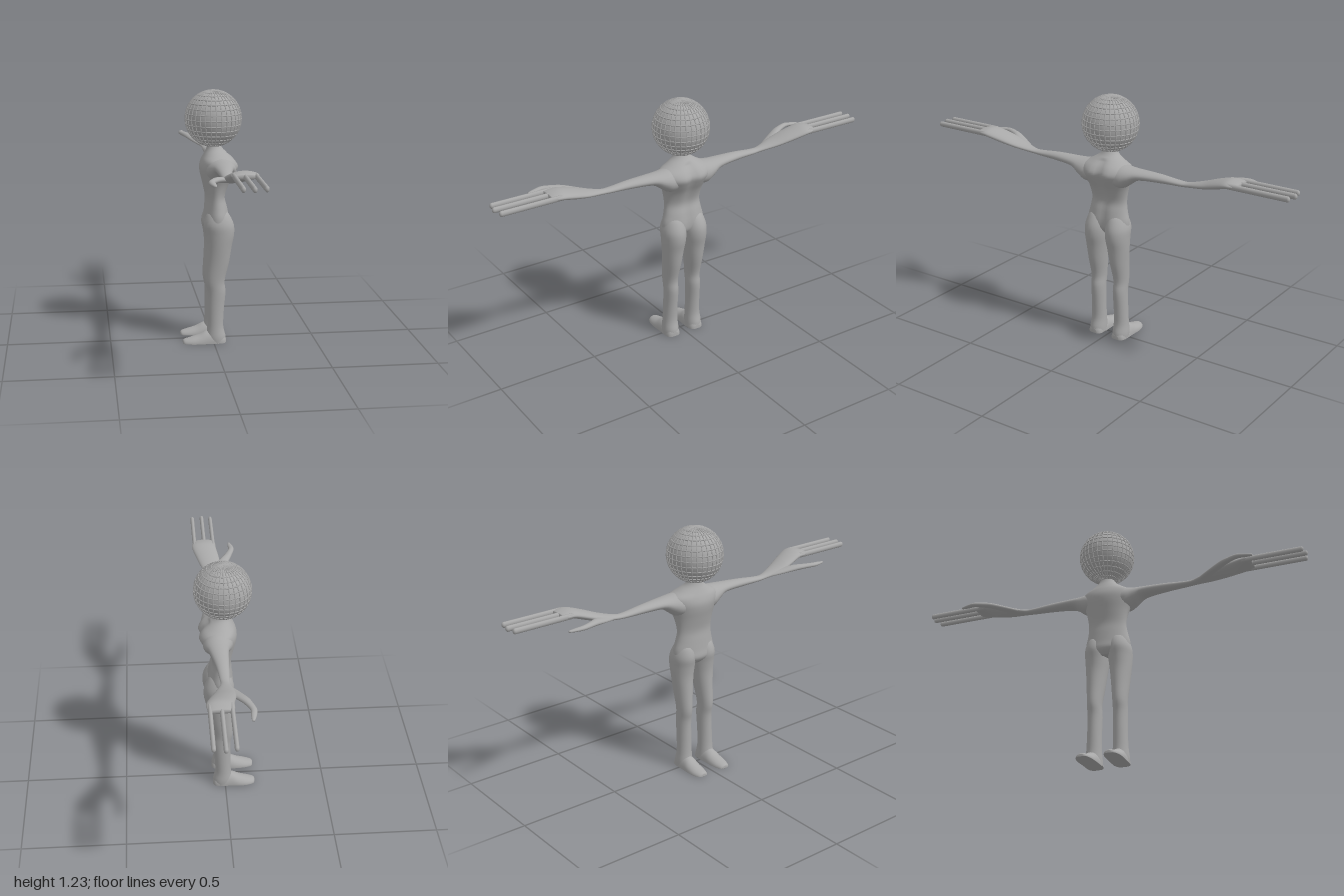
import * as THREE from 'three';

const skin = new THREE.MeshStandardMaterial({ color: 0xa8a8a8 });
skin.name = 'grey';

function catmull(a, b, c, d, t) {
  return 0.5 * (2 * b + (c - a) * t + (2 * a - 5 * b + 4 * c - d) * t * t + (3 * b - a - 3 * c + d) * t * t * t);
}

// Smooth closed body through rows [position, aMin, aMax, bMin, bMax];
// place(position, a, b) turns ring points into xyz.
function loft(rows, place, sides = 24, steps = 4) {
  const rings = [];
  const last = rows.length - 1;
  for (let i = 0; i < last; i++) {
    for (let s = 0; s < steps; s++) {
      const r = [-1, 0, 1, 2].map((k) => rows[Math.min(last, Math.max(0, i + k))]);
      rings.push(rows[0].map((_, j) => catmull(r[0][j], r[1][j], r[2][j], r[3][j], s / steps)));
    }
  }
  rings.push(rows[last]);
  const pos = [];
  const index = [];
  for (const [p, a0, a1, b0, b1] of rings) {
    for (let k = 0; k < sides; k++) {
      const t = (k / sides) * Math.PI * 2;
      const a = (a0 + a1) / 2 + ((a1 - a0) / 2) * Math.cos(t);
      const b = (b0 + b1) / 2 + ((b1 - b0) / 2) * Math.sin(t);
      pos.push(...place(p, a, b));
    }
  }
  for (let i = 0; i < rings.length - 1; i++) {
    for (let k = 0; k < sides; k++) {
      const a = i * sides + k, b = i * sides + ((k + 1) % sides);
      index.push(a, b, a + sides, b, b + sides, a + sides);
    }
  }
  // End caps
  [rings[0], rings[rings.length - 1]].forEach(([p, a0, a1, b0, b1], end) => {
    const centre = pos.length / 3;
    const base = end ? (rings.length - 1) * sides : 0;
    pos.push(...place(p, (a0 + a1) / 2, (b0 + b1) / 2));
    for (let k = 0; k < sides; k++) {
      const a = base + k, b = base + ((k + 1) % sides);
      if (end) index.push(centre, a, b); else index.push(centre, b, a);
    }
  });
  // Face outward whichever way the rings run
  let volume = 0;
  const v = (i) => new THREE.Vector3().fromArray(pos, i * 3);
  for (let i = 0; i < index.length; i += 3) {
    volume += v(index[i]).dot(v(index[i + 1]).cross(v(index[i + 2])));
  }
  if (volume < 0) index.reverse();
  const g = new THREE.BufferGeometry();
  g.setAttribute('position', new THREE.Float32BufferAttribute(pos, 3));
  g.setIndex(index);
  g.computeVertexNormals();
  return g;
}

function add(parent, name, geometry) {
  const m = new THREE.Mesh(geometry, skin);
  m.name = name;
  parent.add(m);
  return m;
}

// Ball covered by a raised lattice of bars
function makeHead() {
  const head = new THREE.Group();
  head.name = 'head';
  const R = 0.134, bar = 0.0032, around = 32, rows = 16;
  add(head, 'headCore', new THREE.SphereGeometry(R - 0.001, around, rows));
  for (let i = 1; i < rows; i++) {
    const a = (i / rows) * Math.PI;
    const ring = add(head, 'headRing', new THREE.TorusGeometry(R * Math.sin(a), bar, 5, around));
    ring.rotation.x = Math.PI / 2;
    ring.position.y = R * Math.cos(a);
  }
  const hoop = new THREE.TorusGeometry(R, bar, 5, 32);
  for (let i = 0; i < around / 2; i++) {
    add(head, 'headHoop', hoop).rotation.y = (i / around) * Math.PI * 2;
  }
  head.position.set(0.007, 1.093, 0);
  return head;
}

export function createModel() {
  const model = new THREE.Group();
  model.name = 'figure';

  // Torso and neck: [y, front x, back x, z range], with a groove down the back
  const torso = [
    [0.55, -0.02, 0.055, -0.05, 0.05],
    [0.58, -0.043, 0.08, -0.105, 0.105],
    [0.62, -0.04, 0.083, -0.113, 0.113],
    [0.67, -0.036, 0.074, -0.102, 0.102],
    [0.72, -0.033, 0.063, -0.096, 0.096],
    [0.78, -0.045, 0.083, -0.105, 0.105],
    [0.83, -0.057, 0.112, -0.122, 0.122],
    [0.865, -0.06, 0.127, -0.135, 0.135],
    [0.895, -0.052, 0.112, -0.13, 0.13],
    [0.92, -0.04, 0.085, -0.085, 0.085],
    [0.945, -0.028, 0.055, -0.048, 0.048],
    [0.97, -0.022, 0.04, -0.034, 0.034],
    [1.0, -0.02, 0.036, -0.032, 0.032],
  ];
  add(model, 'torso', loft(torso, (y, x, z) => {
    const groove = x > 0.03 && y < 0.93 ? 0.2 * Math.exp(-((z / 0.025) ** 2)) : 0;
    return [x - (x - 0.03) * groove, y, z];
  }, 40));

  model.add(makeHead());

  for (const side of [1, -1]) {
    const tag = side > 0 ? 'left' : 'right';
    const upright = (y, x, z) => [x, y, z * side];
    const sideways = (z, x, y) => [x, y, z * side];

    // Leg with buttock: [y, front x, back x, inner z, outer z]
    add(model, tag + 'Leg', loft([
      [0.0, -0.03, 0.06, 0.026, 0.107],
      [0.03, -0.035, 0.06, 0.027, 0.108],
      [0.08, -0.03, 0.049, 0.03, 0.103],
      [0.16, -0.028, 0.052, 0.031, 0.1],
      [0.25, -0.028, 0.06, 0.03, 0.099],
      [0.31, -0.038, 0.056, 0.03, 0.1],
      [0.4, -0.034, 0.077, 0.02, 0.106],
      [0.48, -0.031, 0.09, 0.01, 0.113],
      [0.54, -0.037, 0.102, 0.002, 0.117],
      [0.59, -0.045, 0.099, 0.0, 0.117],
      [0.64, -0.03, 0.075, 0.01, 0.1],
      [0.66, -0.005, 0.05, 0.03, 0.08],
    ], upright));

    // Foot with a flat sole: [x, y range, z range]
    add(model, tag + 'Foot', loft([
      [-0.15, -0.01, 0.012, 0.055, 0.08],
      [-0.142, -0.018, 0.019, 0.042, 0.095],
      [-0.11, -0.027, 0.028, 0.032, 0.107],
      [-0.07, -0.04, 0.041, 0.028, 0.11],
      [-0.03, -0.058, 0.06, 0.027, 0.108],
      [0.02, -0.06, 0.06, 0.027, 0.107],
      [0.05, -0.04, 0.04, 0.035, 0.1],
      [0.061, -0.02, 0.02, 0.05, 0.082],
    ], (x, y, z) => [x, Math.max(0, y), z * side]));

    // Arm and palm: [z, front x, back x, y range]
    add(model, tag + 'Arm', loft([
      [0.05, -0.04, 0.1, 0.8, 0.915],
      [0.1, -0.035, 0.105, 0.8, 0.912],
      [0.14, -0.022, 0.097, 0.825, 0.908],
      [0.19, -0.01, 0.08, 0.855, 0.905],
      [0.3, -0.004, 0.058, 0.861, 0.9],
      [0.4, 0.0, 0.046, 0.864, 0.89],
      [0.45, 0.0, 0.046, 0.868, 0.892],
      [0.53, -0.018, 0.074, 0.882, 0.915],
      [0.6, -0.014, 0.099, 0.9, 0.942],
      [0.67, -0.002, 0.12, 0.922, 0.964],
      [0.71, -0.001, 0.118, 0.93, 0.963],
      [0.735, 0.006, 0.108, 0.938, 0.957],
    ], sideways));

    // Thumb
    add(model, tag + 'Thumb', loft([
      [0.46, 0.005, 0.035, 0.872, 0.89],
      [0.53, -0.035, 0.03, 0.884, 0.908],
      [0.6, -0.068, -0.018, 0.898, 0.925],
      [0.64, -0.082, -0.045, 0.904, 0.928],
      [0.69, -0.096, -0.067, 0.908, 0.929],
      [0.73, -0.091, -0.066, 0.909, 0.925],
      [0.763, -0.08, -0.068, 0.911, 0.92],
    ], sideways, 14));

    // Three long straight fingers
    [[0.011, 0.99], [0.056, 1.0], [0.106, 0.99]].forEach(([x, tip]) => {
      const finger = add(model, tag + 'Finger', new THREE.CapsuleGeometry(0.01, tip - 0.7, 4, 10));
      finger.rotation.x = Math.PI / 2;
      finger.scale.z = 1.35;
      finger.position.set(x, 0.946, side * ((tip + 0.68) / 2));
    });
  }
  return model;
}
